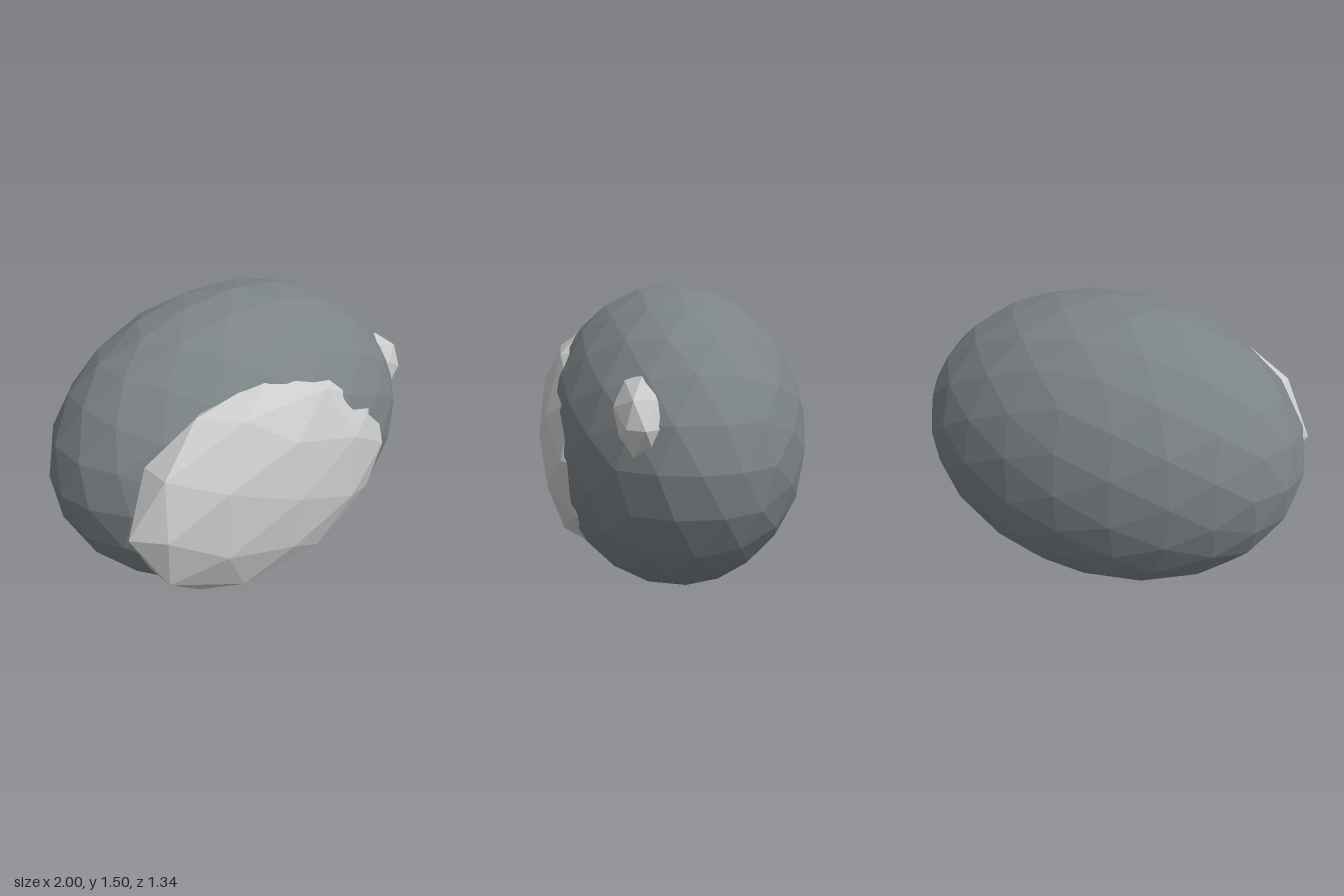
import * as THREE from 'three';

// Unit icosphere: each pass halves every edge and pushes the new corners out to the sphere
function icosphere(passes) {
  const src = new THREE.IcosahedronGeometry(1, 0).getAttribute('position');
  let tris = [];
  for (let i = 0; i < src.count; i += 3) {
    tris.push([0, 1, 2].map(k => new THREE.Vector3().fromBufferAttribute(src, i + k)));
  }
  const mid = (a, b) => a.clone().add(b).normalize();
  for (let p = 0; p < passes; p++) {
    tris = tris.flatMap(([a, b, c]) => {
      const ab = mid(a, b), bc = mid(b, c), ca = mid(c, a);
      return [[a, ab, ca], [ab, b, bc], [ca, bc, c], [ab, bc, ca]];
    });
  }
  return new THREE.BufferGeometry().setFromPoints(tris.flat());
}

// Faceted ellipsoid from its half-sizes and centre
function ellipsoid(name, passes, radii, centre, color) {
  const geometry = icosphere(passes).scale(...radii);
  geometry.computeVertexNormals();
  const material = new THREE.MeshStandardMaterial({ color, flatShading: true });
  const mesh = new THREE.Mesh(geometry, material);
  mesh.name = name;
  mesh.position.set(...centre);
  return mesh;
}

export function createModel() {
  const model = new THREE.Group();
  model.name = 'eyeball';
  model.add(
    // dark egg-like body
    ellipsoid('body', 2, [1, 0.75, 0.65], [0, 0.75, -0.02], 0x7c8387),
    // broad pale patch sunk into the front
    ellipsoid('largePatch', 1, [0.78, 0.545, 0.243], [-0.15, 0.72, 0.422], 0xcccccc),
    // small pale spot on the left side
    ellipsoid('smallSpot', 1, [0.38, 0.234, 0.145], [0.588, 0.932, 0.205], 0xcccccc),
  );
  return model;
}
